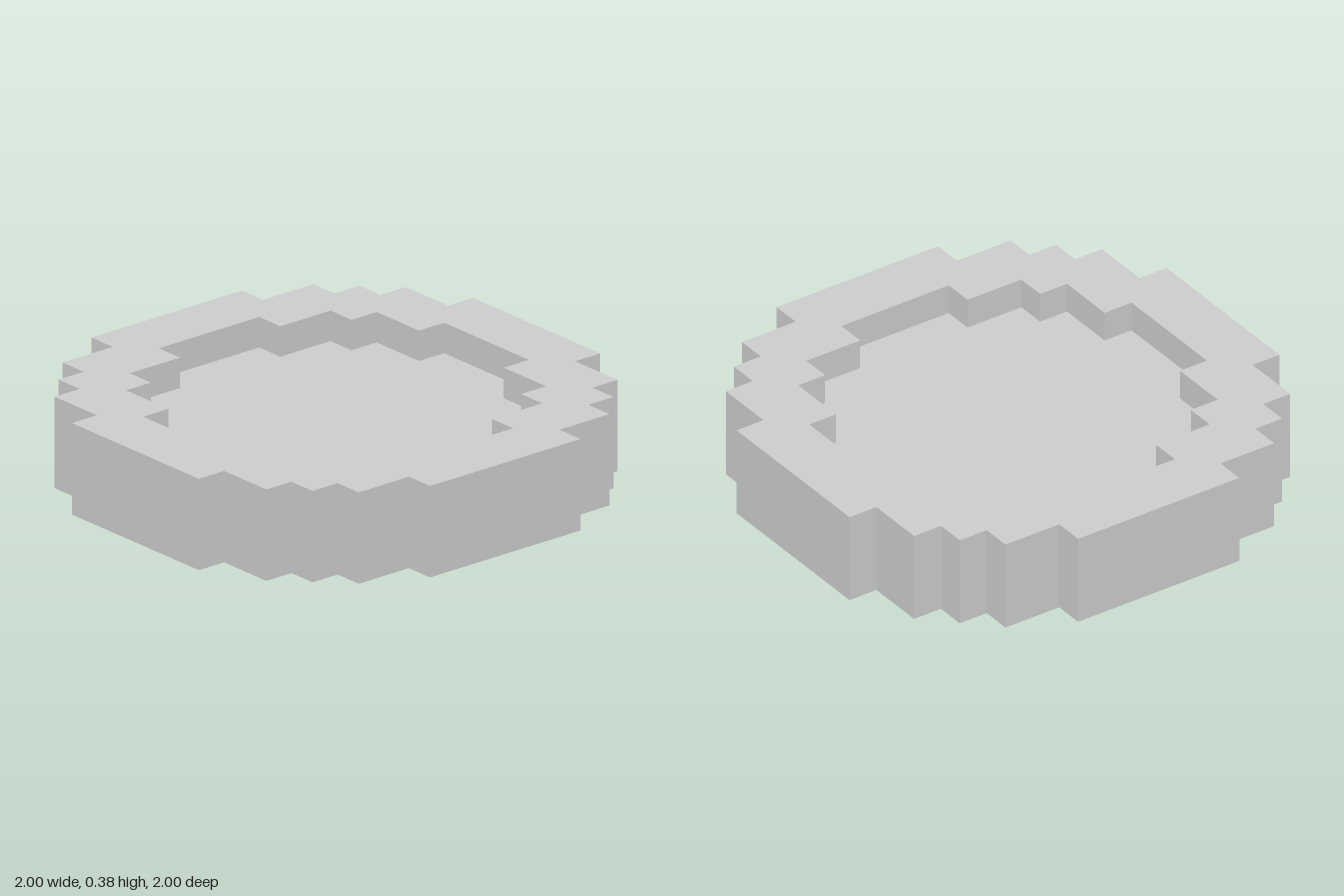
import * as THREE from 'three';

const U = 0.125; // one block

// Stepped round outline: one quadrant of corners (in blocks), turned four times
function steppedOutline(quadrant, PathType) {
  const points = [];
  for (let turn = 0; turn < 4; turn++) {
    for (const [x, y] of quadrant) {
      let px = x * U, py = y * U;
      for (let i = 0; i < turn; i++) [px, py] = [-py, px];
      points.push(new THREE.Vector2(px, py));
    }
  }
  return new PathType(points);
}

// Upright slab from a ground outline
function slab(name, shape, y, height, material) {
  const geometry = new THREE.ExtrudeGeometry(shape, { depth: height, bevelEnabled: false });
  geometry.rotateX(-Math.PI / 2);
  const mesh = new THREE.Mesh(geometry, material);
  mesh.name = name;
  mesh.position.y = y;
  return mesh;
}

export function createModel() {
  const group = new THREE.Group();
  group.name = 'blockDisc';
  const material = new THREE.MeshStandardMaterial({ color: 0xcccccc, flatShading: true });

  const outer = [[8, 3], [7, 3], [7, 5], [6, 5], [6, 6], [5, 6], [5, 7], [3, 7], [3, 8]];
  const inner = [[6, 2], [5, 2], [5, 4], [4, 4], [4, 5], [2, 5], [2, 6]];

  // Raised rim, three blocks tall
  const rim = steppedOutline(outer, THREE.Shape);
  rim.holes.push(steppedOutline(inner, THREE.Path));
  group.add(slab('rim', rim, 0, 3 * U, material));

  // Centre panel, recessed one block on both faces
  group.add(slab('centrePanel', steppedOutline(inner, THREE.Shape), U, U, material));

  return group;
}
